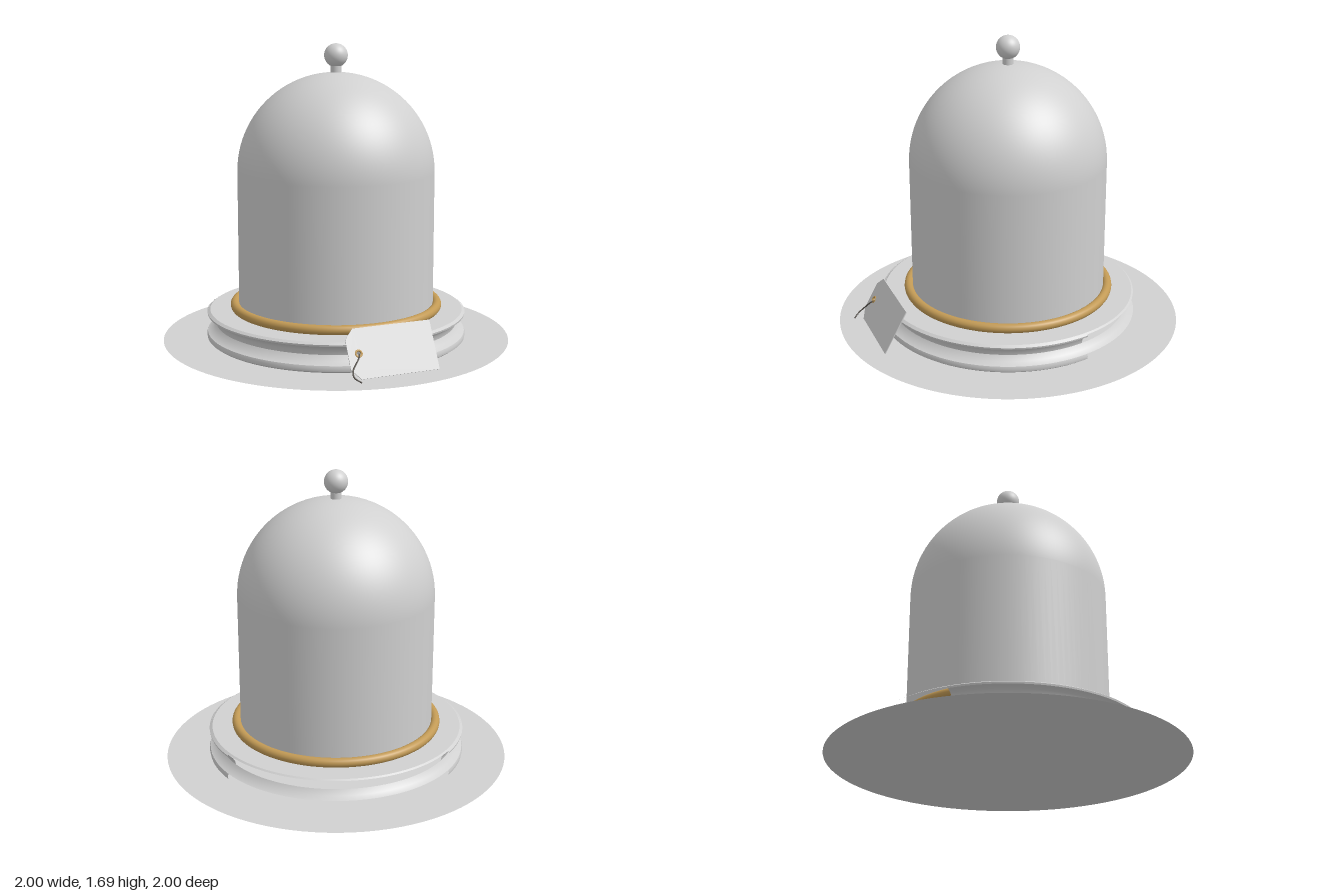
import * as THREE from 'three';
import { toCreasedNormals } from 'three/addons/utils/BufferGeometryUtils.js';

export function createModel() {
  const group = new THREE.Group();
  const grey = new THREE.MeshStandardMaterial({ name: 'pale grey', color: 0xd0d0d0 });
  const greySheet = new THREE.MeshStandardMaterial({ name: 'pale grey sheet', color: 0xd0d0d0, side: THREE.DoubleSide });
  const brass = new THREE.MeshStandardMaterial({ name: 'brass', color: 0xc29a55 });
  const dark = new THREE.MeshStandardMaterial({ name: 'dark string', color: 0x55504a });

  const add = (name, geometry, material, parent = group) => {
    const mesh = new THREE.Mesh(geometry, material);
    mesh.name = name;
    parent.add(mesh);
    return mesh;
  };
  const lathe = (points, start = 0, length = Math.PI * 2) => toCreasedNormals(
    new THREE.LatheGeometry(points.map(([r, y]) => new THREE.Vector2(r, y)), 96, start, length), 0.6);

  // Flat ground disc
  add('groundDisc', new THREE.CircleGeometry(1, 96).rotateX(-Math.PI / 2), greySheet);

  // Moulded base: upward faces run all round, the side mouldings stop at the back
  const arcStart = THREE.MathUtils.degToRad(-119);
  const arcLength = THREE.MathUtils.degToRad(247);
  add('baseTop', lathe([[0.74, 0.163], [0.73, 0.17], [0, 0.17]]), grey);
  add('baseLowerSlope', lathe([[0.745, 0.045], [0.715, 0.06], [0.695, 0.09]]), grey);
  add('baseLowerLip', lathe([[0.735, 0.005], [0.747, 0.014], [0.75, 0.03], [0.745, 0.045]], arcStart, arcLength), grey);
  add('baseUpperMoulding', lathe([[0.695, 0.09], [0.7, 0.115], [0.715, 0.135], [0.737, 0.146],
    [0.745, 0.15], [0.747, 0.16], [0.74, 0.165]], arcStart, arcLength), grey);

  // Brass ring round the foot of the dome
  add('brassRing', new THREE.TorusGeometry(0.585, 0.027, 16, 96).rotateX(Math.PI / 2), brass).position.y = 0.193;

  // Dome with straight walls and a hemispherical crown
  const radius = 0.563;
  const profile = [new THREE.Vector2(radius, 0.17)];
  for (let i = 0; i <= 24; i++) {
    const a = (i / 24) * Math.PI / 2;
    profile.push(new THREE.Vector2(i === 24 ? 0 : radius * Math.cos(a), 0.967 + radius * Math.sin(a)));
  }
  add('dome', new THREE.LatheGeometry(profile, 96), grey);

  // Knob
  add('knobNeck', new THREE.CylinderGeometry(0.03, 0.03, 0.06, 32), grey).position.y = 1.55;
  add('knob', new THREE.SphereGeometry(0.067, 40, 24), grey).position.y = 1.625;

  // Leaning tag: local x runs along its length, local y up its face
  const tag = new THREE.Group();
  tag.name = 'tag';
  const along = new THREE.Vector3(0.4, 0, -0.175).normalize();
  const normal = along.clone().cross(new THREE.Vector3(-0.05, 0.235, -0.12)).normalize();
  const up = normal.clone().cross(along);
  tag.matrix.makeBasis(along, up, normal).setPosition(0.565, 0.008, 0.665);
  tag.matrix.decompose(tag.position, tag.quaternion, tag.scale);
  group.add(tag);

  const outline = new THREE.Shape([[0, 0], [0, 0.27], [-0.45, 0.27], [-0.5, 0.215], [-0.5, 0.055], [-0.45, 0]]
    .map(([x, y]) => new THREE.Vector2(x, y)));
  outline.holes.push(new THREE.Path().absarc(-0.44, 0.135, 0.014, 0, Math.PI * 2, true));
  const card = new THREE.ExtrudeGeometry(outline, { depth: 0.005, bevelEnabled: false, curveSegments: 20 });
  add('tagCard', card.translate(0, 0, -0.0025), grey, tag);
  add('tagEyelet', new THREE.TorusGeometry(0.017, 0.006, 10, 28), brass, tag).position.set(-0.44, 0.135, 0);

  // String hanging from the eyelet
  const path = new THREE.CatmullRomCurve3([[0.138, 0.122, 0.775], [0.137, 0.108, 0.802], [0.108, 0.055, 0.85],
    [0.115, 0.028, 0.88], [0.155, 0.008, 0.902]].map(p => new THREE.Vector3(...p)));
  add('string', new THREE.TubeGeometry(path, 32, 0.004, 8), dark);

  return group;
}
